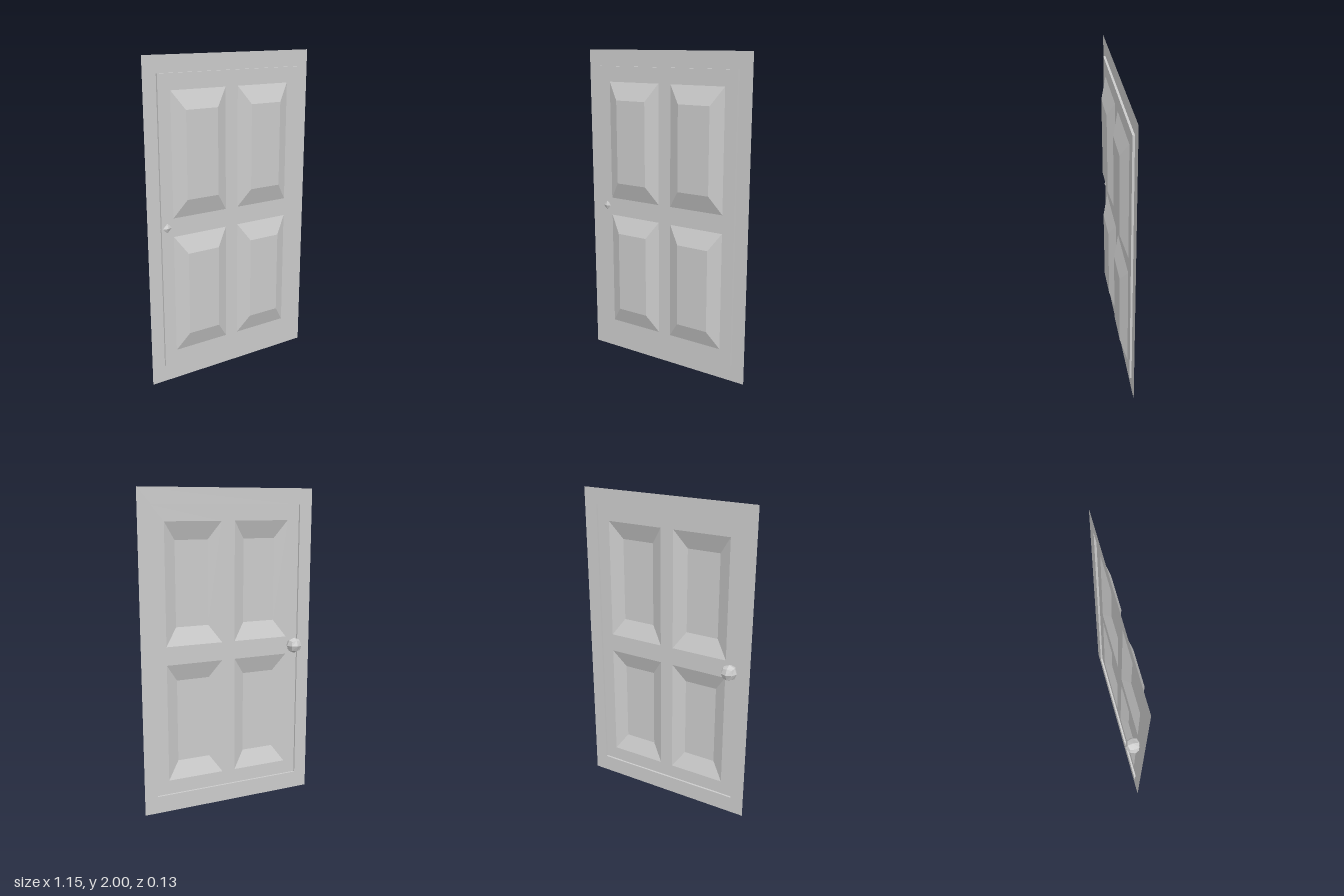
import * as THREE from 'three';

const material = new THREE.MeshStandardMaterial({
  color: 0xcccccc, flatShading: true, side: THREE.DoubleSide,
});

const FRAME_Z = 0.012, DOOR_Z = 0.025, PANEL_Z = 0.063;

// Rectangles are [x0, y0, x1, y1]; corners run counter-clockwise
const corners = ([x0, y0, x1, y1]) => [[x0, y0], [x1, y0], [x1, y1], [x0, y1]];
const toPoints = (rect) => corners(rect).map(([x, y]) => new THREE.Vector2(x, y));

function named(name, geometry) {
  const mesh = new THREE.Mesh(geometry, material);
  mesh.name = name;
  return mesh;
}

// Flat sheet with rectangular holes
function sheet(rect, z, holes = []) {
  const shape = new THREE.Shape(toPoints(rect));
  holes.forEach((h) => shape.holes.push(new THREE.Path(toPoints(h).reverse())));
  return new THREE.ShapeGeometry(shape).translate(0, 0, z);
}

// Four walls joining an outer rectangle to an inner one at another depth
function walls(outer, outerZ, inner, innerZ) {
  const a = corners(outer), b = corners(inner), positions = [];
  for (let i = 0; i < 4; i++) {
    const j = (i + 1) % 4;
    const p = [...a[i], outerZ], q = [...a[j], outerZ];
    const r = [...b[j], innerZ], s = [...b[i], innerZ];
    positions.push(...p, ...q, ...r, ...p, ...r, ...s);
  }
  const g = new THREE.BufferGeometry();
  g.setAttribute('position', new THREE.Float32BufferAttribute(positions, 3));
  g.computeVertexNormals();
  return g;
}

export function createModel() {
  const model = new THREE.Group();
  model.name = 'panelledDoor';

  const frameRect = [-0.575, 0, 0.575, 2];
  const doorRect = [-0.49, 0.11, 0.49, 1.9];

  // Panel openings: two columns by two rows
  const panelRects = [];
  for (const [x0, x1] of [[-0.41, -0.043], [0.043, 0.41]])
    for (const [y0, y1] of [[0.2, 0.945], [1.06, 1.805]])
      panelRects.push([x0, y0, x1, y1]);

  // Thin frame, stepped edge and door face
  model.add(named('frame', sheet(frameRect, FRAME_Z, [doorRect])));
  model.add(named('doorEdge', walls(doorRect, FRAME_Z, doorRect, DOOR_Z)));
  model.add(named('doorFace', sheet(doorRect, DOOR_Z, panelRects)));

  // Embossed panels, raised at the front and hollow at the back
  for (const rect of panelRects) {
    const [x0, y0, x1, y1] = rect;
    const top = [x0 + 0.077, y0 + 0.11, x1 - 0.077, y1 - 0.11];
    const panel = new THREE.Group();
    panel.name = 'panel';
    panel.add(named('panelBevel', walls(rect, DOOR_Z, top, PANEL_Z)));
    panel.add(named('panelFace', sheet(top, PANEL_Z)));
    model.add(panel);
  }

  // Knob: subdivided cube pushed out to a sphere
  const knob = new THREE.BoxGeometry(1, 1, 1, 2, 2, 2);
  const pos = knob.attributes.position, v = new THREE.Vector3();
  for (let i = 0; i < pos.count; i++) {
    v.fromBufferAttribute(pos, i).setLength(0.05);
    pos.setXYZ(i, v.x, v.y, v.z);
  }
  knob.computeVertexNormals();
  knob.translate(-0.452, 1.005, -0.013);
  model.add(named('knob', knob));

  return model;
}
